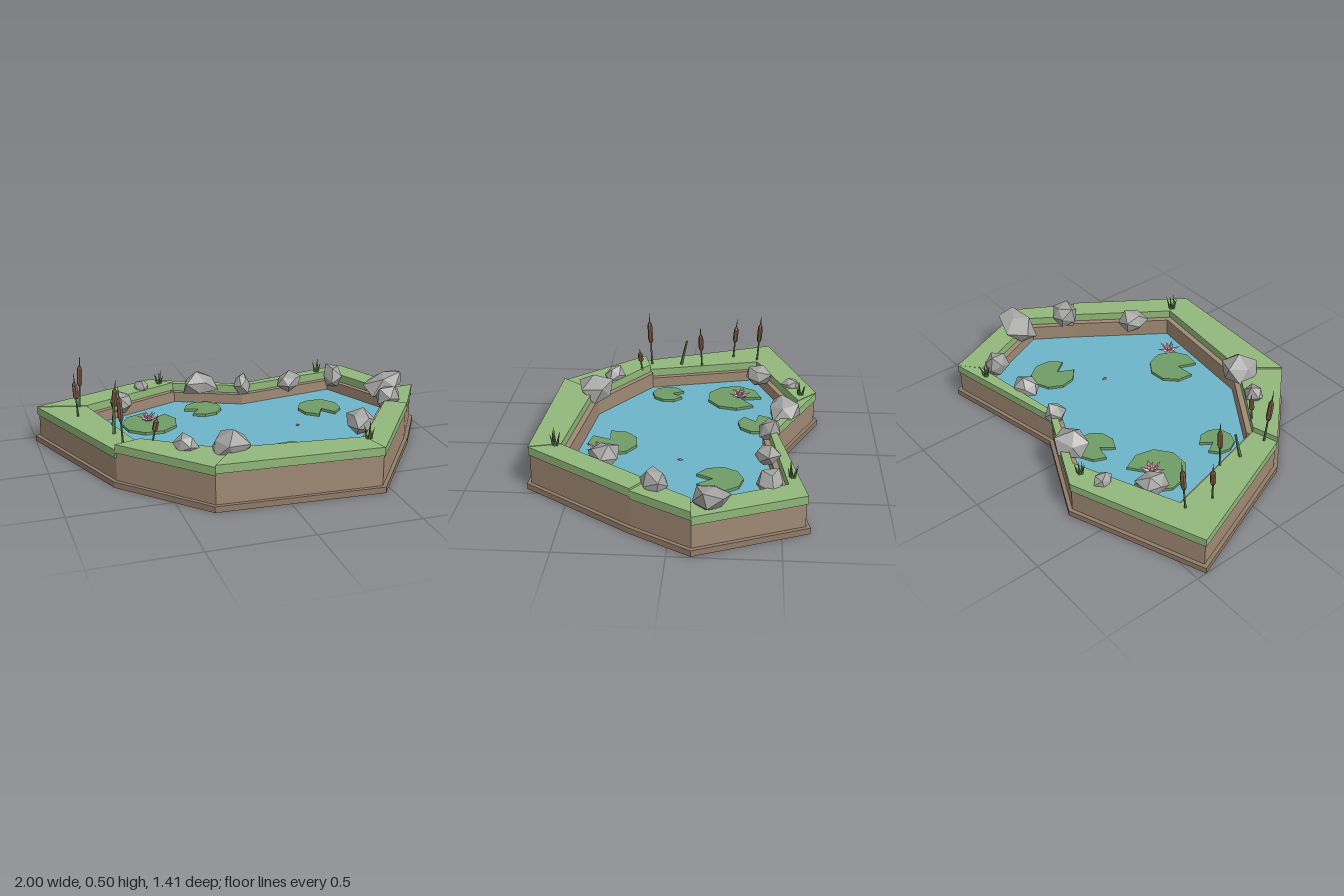
import * as THREE from 'three';

const mat = (color) => new THREE.MeshStandardMaterial({ color, flatShading: true });
const M = {
  earth: mat(0xa08a75), base: mat(0x927c69), grass: mat(0x91b87b), water: mat(0x6db5c9),
  pad: mat(0x6f9d67), petal: mat(0xe0a0bc), heart: mat(0xe8c860), rock: mat(0xa3a3a1),
  stem: mat(0x5f8a4c), reed: mat(0x7a5a42), fish: mat(0xe08a3c),
};
const WATER_Y = 0.09;

// Plan outlines as [x, z], clockwise seen from above
const OUTER = [[-1, -0.45], [-0.33, -0.706], [0.125, -0.49], [0.775, -0.627], [0.995, -0.107],
  [0.826, 0.18], [0.46, 0.705], [-0.356, 0.663], [-0.73, 0.257]];
const POOL = [[-0.705, -0.362], [-0.225, -0.565], [0.115, -0.412], [0.65, -0.495], [0.825, -0.1],
  [0.7, 0.088], [0.4, 0.51], [-0.2, 0.447], [-0.565, 0.195]];
// Turf top height of each bank section
const TOPS = [0.19, 0.186, 0.187, 0.188, 0.212, 0.222, 0.225, 0.215, 0.187];

function named(geometry, material, name) {
  const m = new THREE.Mesh(geometry, material);
  m.name = name;
  return m;
}

// Move every edge of an outline inward by d, keeping mitred corners
function inset(poly, d) {
  const n = poly.length;
  const normal = (a, b) => {
    const l = Math.hypot(b[0] - a[0], b[1] - a[1]);
    return [-(b[1] - a[1]) / l, (b[0] - a[0]) / l];
  };
  return poly.map((p, i) => {
    const u = normal(poly[(i + n - 1) % n], p), v = normal(p, poly[(i + 1) % n]);
    const k = d / (1 + u[0] * v[0] + u[1] * v[1]);
    return [p[0] + (u[0] + v[0]) * k, p[1] + (u[1] + v[1]) * k];
  });
}

// Upright prism over a plan outline
function prism(pts, y0, y1) {
  const shape = new THREE.Shape(pts.map(([x, z]) => new THREE.Vector2(x, -z)));
  return new THREE.ExtrudeGeometry(shape, { depth: y1 - y0, bevelEnabled: false })
    .rotateX(-Math.PI / 2).translate(0, y0, 0);
}

// Faceted boulder fitted to a box; lean pushes its top sideways
function rock(x, z, rx, rz, y0, y1, seed, lean = 0) {
  const g = new THREE.IcosahedronGeometry(1, 0).rotateY(seed * 1.7).rotateX(seed * 0.9);
  const p = g.attributes.position, v = new THREE.Vector3();
  for (let i = 0; i < p.count; i++) {
    v.fromBufferAttribute(p, i);
    const h = Math.sin(Math.round(v.x * 50) * 1.3 + Math.round(v.y * 50) * 2.1 + Math.round(v.z * 50) * 3.7 + seed);
    v.multiplyScalar(1 + 0.16 * h);
    p.setXYZ(i, v.x + lean * v.y, v.y, v.z);
  }
  g.center();
  g.boundingBox.getSize(v);
  g.scale(2 * rx / v.x, (y1 - y0) / v.y, 2 * rz / v.z);
  g.computeVertexNormals();
  const m = named(g, M.rock, 'rock');
  m.position.set(x, (y0 + y1) / 2, z);
  return m;
}

// Floating pad with a wedge cut out towards the given plan angle
function lilyPad(x, z, r, angle) {
  const pts = [[x + 0.25 * r * Math.cos(angle), z + 0.25 * r * Math.sin(angle)]];
  for (let i = 0; i <= 8; i++) {
    const a = angle + 0.42 + (i / 8) * (2 * Math.PI - 0.84);
    pts.push([x + r * Math.cos(a), z + r * Math.sin(a)]);
  }
  return named(prism(pts, WATER_Y - 0.005, WATER_Y + 0.014), M.pad, 'lilyPad');
}

// Water lily: two rings of pointed petals round a small heart
function lilyFlower(x, z, turn) {
  const flower = new THREE.Group();
  flower.name = 'lilyFlower';
  for (const [count, length, tilt, shift] of [[6, 0.068, 1.2, 0], [5, 0.05, 0.65, 0.5]]) {
    for (let i = 0; i < count; i++) {
      const g = new THREE.ConeGeometry(0.02, length, 4).scale(1, 1, 0.45)
        .translate(0, length / 2, 0).rotateX(tilt).rotateY(turn + (i + shift) / count * 2 * Math.PI);
      flower.add(named(g, M.petal, 'petal'));
    }
  }
  const heart = named(new THREE.IcosahedronGeometry(0.012, 0), M.heart, 'flowerHeart');
  heart.position.y = 0.018;
  flower.add(heart);
  flower.position.set(x, WATER_Y + 0.016, z);
  return flower;
}

// Cattail leaning from its foot to its tip
function cattail(foot, tip, hasHead) {
  const group = new THREE.Group();
  group.name = hasHead ? 'cattail' : 'reedStem';
  const a = new THREE.Vector3(...foot), dir = new THREE.Vector3(...tip).sub(a);
  const L = dir.length();
  const piece = (r0, r1, from, to, sides, material, name) => group.add(named(
    new THREE.CylinderGeometry(r1, r0, (to - from) * L, sides).translate(0, (from + to) / 2 * L, 0), material, name));
  if (hasHead) {
    piece(0.006, 0.004, 0, 0.5, 5, M.stem, 'stem');
    piece(0.008, 0.014, 0.42, 0.48, 6, M.reed, 'headBase');
    piece(0.014, 0.013, 0.48, 0.75, 6, M.reed, 'head');
    piece(0.013, 0.004, 0.75, 0.81, 6, M.reed, 'headTop');
    piece(0.004, 0.0005, 0.81, 1, 5, M.stem, 'tip');
  } else piece(0.009, 0.006, 0, 1, 5, M.stem, 'stem');
  group.position.copy(a);
  group.quaternion.setFromUnitVectors(new THREE.Vector3(0, 1, 0), dir.normalize());
  return group;
}

// Tuft of splayed blades
function tuft(x, y, z, height) {
  const group = new THREE.Group();
  group.name = 'grassTuft';
  for (let i = 0; i < 6; i++) {
    const h = height * (i % 2 ? 0.75 : 1);
    const g = new THREE.ConeGeometry(0.007, h, 4).translate(0, h / 2, 0)
      .rotateX(i === 0 ? 0.05 : 0.28).translate(0, 0, 0.008).rotateY(i * 1.26);
    group.add(named(g, M.stem, 'blade'));
  }
  group.position.set(x, y - 0.005, z);
  return group;
}

export function createModel() {
  const pond = new THREE.Group();
  pond.name = 'gardenPond';

  // Ground slab and water
  pond.add(named(prism(OUTER, 0, 0.03), M.base, 'baseSlab'));
  pond.add(named(prism(inset(POOL, -0.01), 0.03, WATER_Y), M.water, 'water'));

  // Bank sections: earth wall topped with turf, each with its own height
  const earthOut = inset(OUTER, 0.019), turfOut = inset(OUTER, 0.013), turfIn = inset(POOL, -0.028);
  TOPS.forEach((top, i) => {
    const j = (i + 1) % TOPS.length;
    pond.add(named(prism([earthOut[i], earthOut[j], POOL[j], POOL[i]], 0.03, top - 0.042), M.earth, 'earthBank'));
    pond.add(named(prism([turfOut[i], turfOut[j], turfIn[j], turfIn[i]], top - 0.042, top), M.grass, 'turf'));
  });

  // Boulders round the rim: x, z, half sizes, bottom, top, seed, lean
  [
    [-0.41, -0.56, 0.037, 0.053, 0.16, 0.235, 1],
    [-0.555, -0.39, 0.06, 0.07, 0.13, 0.24, 2],
    [-0.095, -0.525, 0.09, 0.077, 0.14, 0.27, 3],
    [0.125, -0.445, 0.047, 0.053, 0.13, 0.25, 4],
    [0.395, -0.435, 0.073, 0.063, 0.13, 0.245, 5],
    [0.665, -0.44, 0.06, 0.06, 0.13, 0.25, 6],
    [0.84, -0.19, 0.108, 0.085, 0.14, 0.275, 7, 0.5],
    [0.757, 0.07, 0.067, 0.065, 0.16, 0.29, 8],
    [0.492, 0.335, 0.073, 0.075, 0.15, 0.277, 9],
    [-0.225, 0.465, 0.088, 0.09, 0.16, 0.312, 10],
    [-0.412, 0.385, 0.06, 0.055, 0.17, 0.28, 11],
  ].forEach((r) => pond.add(rock(...r)));

  // Lily pads, flowers and a little fish at the surface
  [
    [-0.435, -0.26, 0.145, -1.2], [-0.115, -0.385, 0.1, 2.8], [0.485, -0.21, 0.115, 1.5],
    [-0.46, 0.1, 0.087, -1.5], [0.14, 0.33, 0.125, 2.5],
  ].forEach((p) => pond.add(lilyPad(...p)));
  pond.add(lilyFlower(-0.435, -0.29, 0.2), lilyFlower(0.25, 0.395, 0.6));
  const fish = named(new THREE.OctahedronGeometry(0.01, 0).scale(1, 0.7, 1.4), M.fish, 'fish');
  fish.position.set(0.29, WATER_Y + 0.003, -0.015);
  pond.add(fish);

  // Cattails on the right-hand bank
  [
    [[-0.775, 0.18, -0.38], [-0.758, 0.46, -0.397], true],
    [[-0.805, 0.18, -0.245], [-0.815, 0.41, -0.262], true],
    [[-0.665, 0.18, -0.072], [-0.642, 0.425, -0.062], true],
    [[-0.68, 0.18, 0.045], [-0.67, 0.33, 0.013], false],
    [[-0.67, 0.18, 0.208], [-0.688, 0.495, 0.226], true],
    [[-0.54, 0.2, 0.252], [-0.513, 0.345, 0.263], true],
  ].forEach((c) => pond.add(cattail(...c)));

  // Grass tufts
  pond.add(tuft(-0.3, 0.188, -0.61, 0.075), tuft(0.6, 0.187, -0.545, 0.08), tuft(0.425, 0.223, 0.565, 0.09));
  return pond;
}
